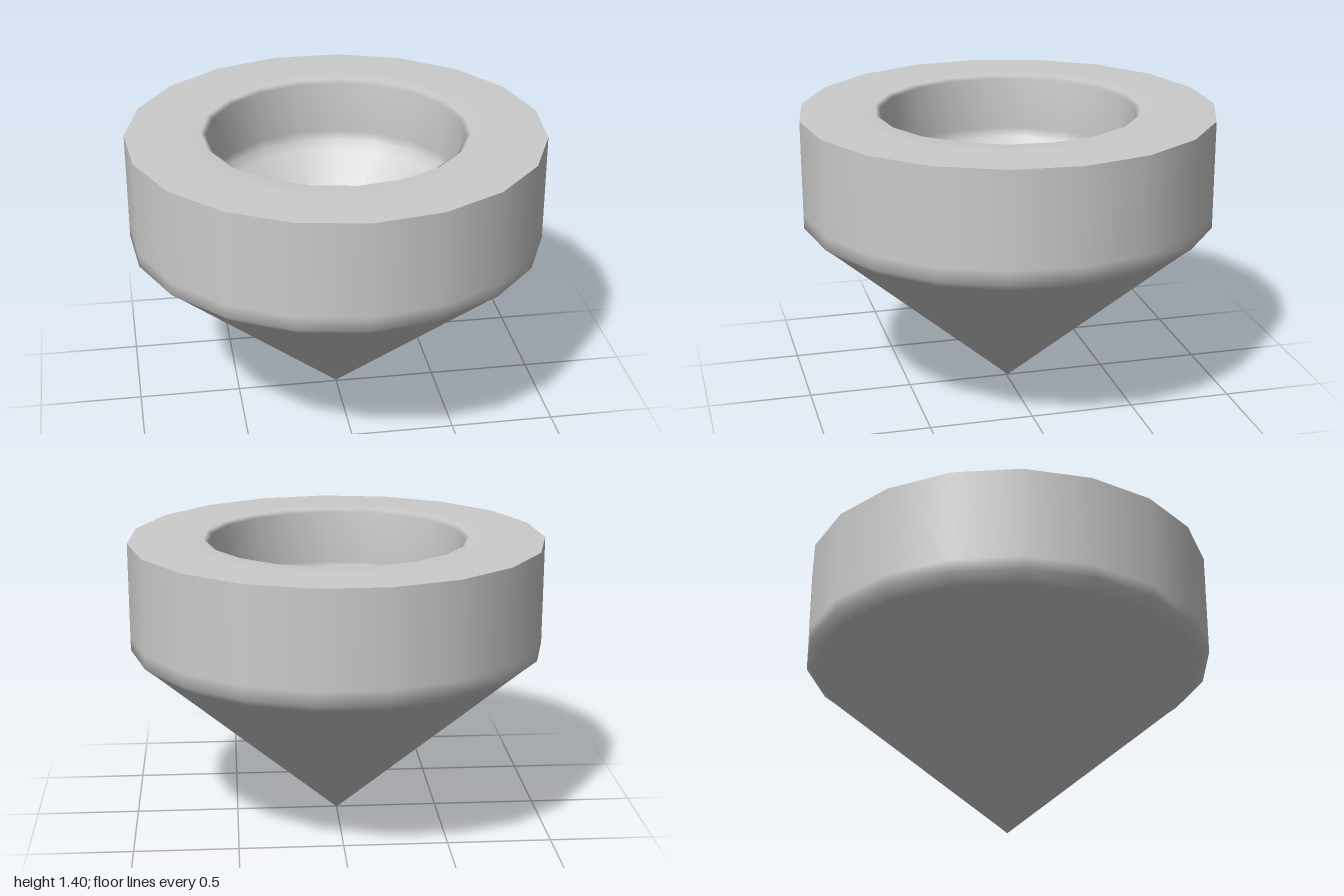
import * as THREE from 'three';

const SIDES = 19;

export function createModel() {
  const model = new THREE.Group();
  const material = new THREE.MeshStandardMaterial({ color: 0xcccccc, side: THREE.DoubleSide });

  // Revolves a [radius, height] profile; an odd side count puts one corner at the front
  function revolve(name, profile) {
    const points = profile.map(([r, y]) => new THREE.Vector2(r, y));
    const mesh = new THREE.Mesh(new THREE.LatheGeometry(points, SIDES), material);
    mesh.name = name;
    mesh.position.z = -0.007; // centres the odd-sided outline
    model.add(mesh);
  }

  // Pointed underside and straight outer wall, with close loops softening the corner
  revolve('outerShell', [
    [0, 0], [0.06, 0.053], [0.95, 0.832], [1.003, 0.875], [1.003, 0.94], [1.003, 1.4],
  ]);

  // Wide flat rim with a slight inner lip, then the conical hollow
  revolve('rimAndHollow', [
    [1.003, 1.4], [0.75, 1.403], [0.64, 1.405], [0.617, 1.39], [0.617, 1.13],
    [0.615, 1.08], [0.575, 1.045], [0.04, 0.575], [0, 0.54],
  ]);

  return model;
}
